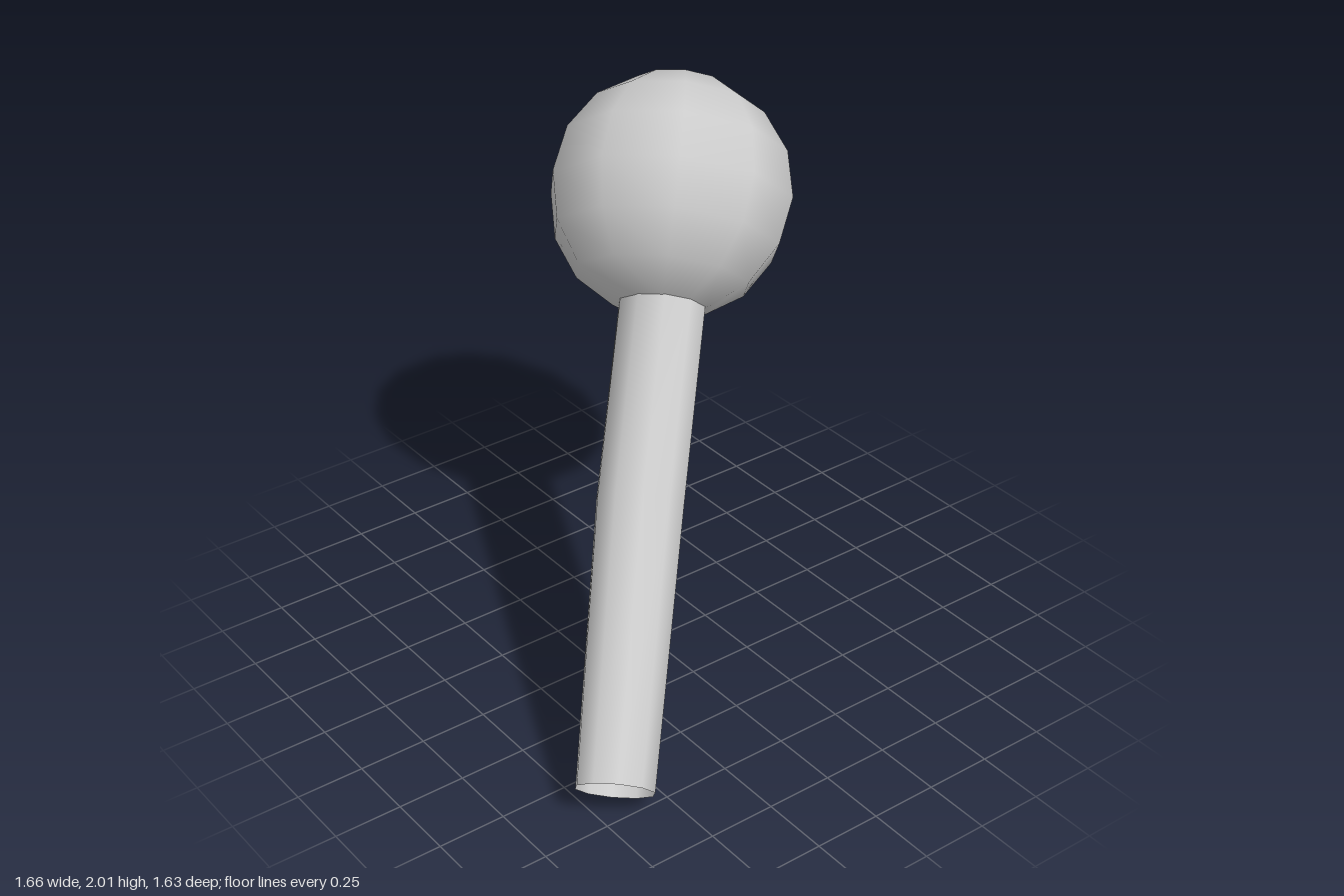
import * as THREE from 'three';

const SIDES = 10;
const material = new THREE.MeshStandardMaterial({ color: 0xcccccc, side: THREE.DoubleSide });

// Open tapered tube: one ring of vertices per section { p: centre, d: axis, r: radius }
function sweptTube(sections, reference) {
  const positions = [], indices = [];
  for (const { p, d, r } of sections) {
    const u = reference.clone().addScaledVector(d, -reference.dot(d)).normalize();
    const v = new THREE.Vector3().crossVectors(d, u);
    for (let i = 0; i < SIDES; i++) {
      const a = (i / SIDES) * Math.PI * 2;
      const q = p.clone().addScaledVector(u, r * Math.cos(a)).addScaledVector(v, r * Math.sin(a));
      positions.push(q.x, q.y, q.z);
    }
  }
  for (let s = 0; s < sections.length - 1; s++) {
    for (let i = 0; i < SIDES; i++) {
      const j = (i + 1) % SIDES;
      const a = s * SIDES + i, b = s * SIDES + j;
      indices.push(a, b, b + SIDES, a, b + SIDES, a + SIDES);
    }
  }
  const geometry = new THREE.BufferGeometry();
  geometry.setAttribute('position', new THREE.Float32BufferAttribute(positions, 3));
  geometry.setIndex(indices);
  geometry.computeVertexNormals();
  return geometry;
}

export function createModel() {
  const group = new THREE.Group();
  group.name = 'ballOnStem';

  // Ball, its pole lined up with the top of the stem
  const axis = new THREE.Vector3(-0.49, 0.72, -0.49).normalize();
  const reference = new THREE.Vector3(-0.83, 0, 0.55);
  const side = reference.clone().addScaledVector(axis, -reference.dot(axis)).normalize();
  const ball = new THREE.Mesh(new THREE.SphereGeometry(0.447, SIDES, 8), material);
  ball.name = 'ball';
  ball.quaternion.setFromRotationMatrix(
    new THREE.Matrix4().makeBasis(side, axis, new THREE.Vector3().crossVectors(side, axis)));
  ball.position.set(-0.39, 1.558, -0.375);
  group.add(ball);

  // Stem: bends once halfway, narrows to an open lower end
  const foot = new THREE.Vector3(0.72, 0.1, 0.695);
  const bend = new THREE.Vector3(0.16, 0.755, 0.172);
  const top = new THREE.Vector3(-0.19, 1.29, -0.19);
  const lower = bend.clone().sub(foot).normalize();
  const upper = top.clone().sub(bend).normalize();
  const stem = new THREE.Mesh(sweptTube([
    { p: foot, d: lower, r: 0.138 },
    { p: bend, d: lower.clone().add(upper).normalize(), r: 0.158 },
    { p: top, d: upper, r: 0.158 },
  ], reference), material);
  stem.name = 'stem';
  group.add(stem);

  return group;
}
